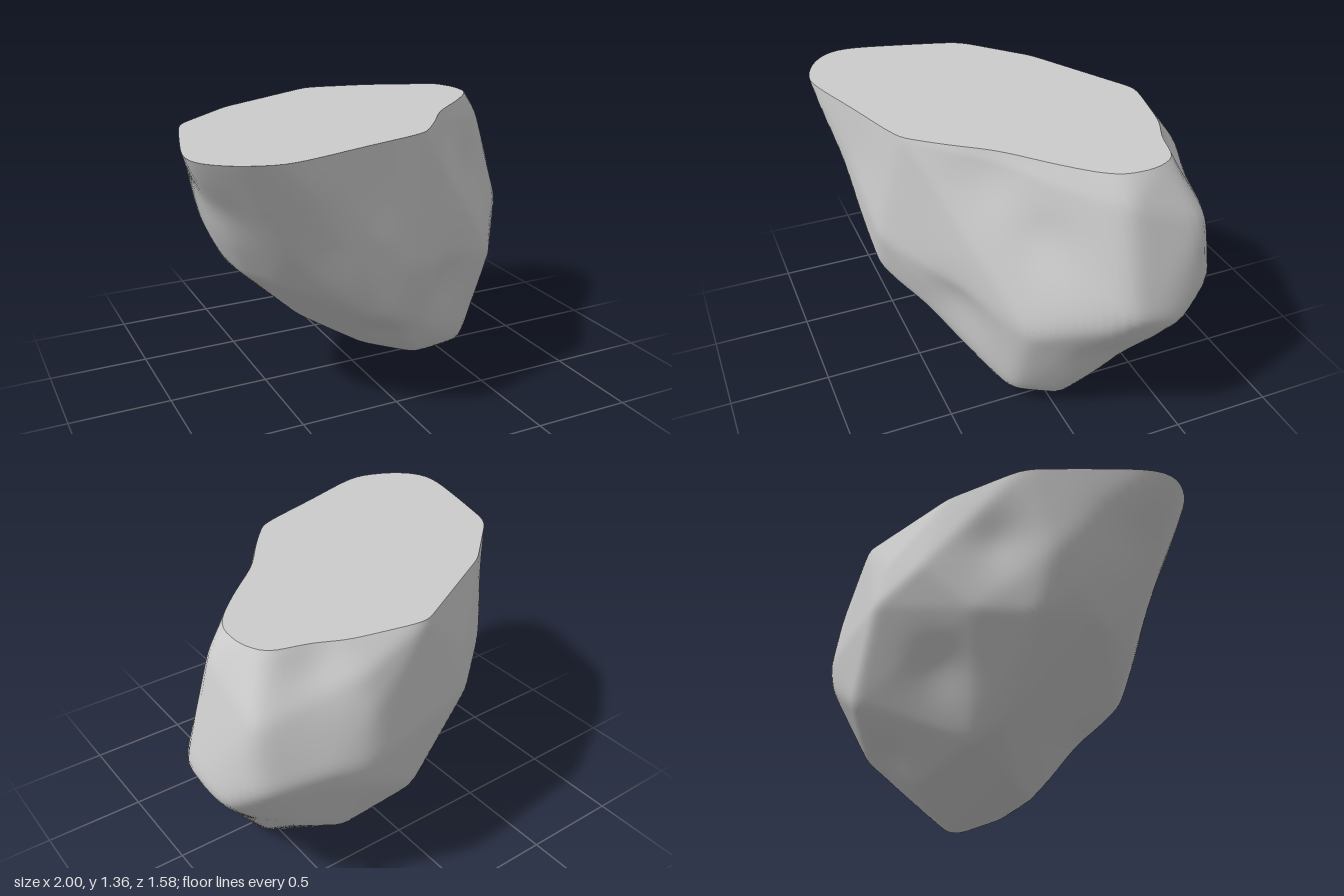
import * as THREE from 'three';
import { ConvexGeometry } from 'three/addons/geometries/ConvexGeometry.js';

const TOP = 1.365, COLS = 160, ROWS = 72;

// Outline of the flat top: x, z
const RIM = [
  [-1.008, 0.55], [-0.99, 0.43], [-0.93, 0.2], [-0.86, -0.05], [-0.83, -0.1], [-0.53, -0.37], [-0.3, -0.49],
  [0.04, -0.675], [0.12, -0.665], [0.43, -0.6], [0.74, -0.49], [0.79, -0.36], [0.785, -0.22], [0.74, -0.14],
  [0.1, 0.55], [0, 0.59], [-0.5, 0.75], [-0.68, 0.798], [-0.86, 0.735], [-0.97, 0.645],
];

// Corners where the facets of the boulder meet: x, y, z
const CORNERS = [
  // right-hand end
  [0.87, 1.24, -0.2], [1.012, 0.74, -0.18], [1.008, 0.7, -0.33], [0.98, 0.65, -0.47], [0.9, 0.78, -0.64], [0.88, 1.1, -0.6],
  [0.64, 0.41, -0.54], [0.73, 0.45, -0.43], [0.62, 0.25, -0.31],
  // back
  [0.4, 1.24, -0.71], [0.38, 1.08, -0.76], [0.36, 0.85, -0.792], [0.46, 0.84, -0.792], [0.62, 0.85, -0.755],
  [0.4, 0.7, -0.78], [0.1, 0.5, -0.7], [0.4, 0.31, -0.57], [0.4, 0.2, -0.43],
  [-0.24, 0.88, -0.66], [-0.26, 1.1, -0.61], [-0.46, 1.0, -0.49],
  // left-hand end
  [-0.83, 0.95, 0.27], [-0.82, 0.95, 0.05], [-0.77, 0.81, 0.2], [-0.7, 0.71, 0.03], [-0.56, 0.76, -0.24], [-0.7, 0.73, 0.3],
  [-0.6, 0.71, 0.42], [-0.4, 0.69, 0.61], [-0.63, 0.95, 0.64], [-0.42, 0.5, 0.08],
  // underside
  [-0.3, 0.32, -0.03], [-0.18, 0.25, -0.16], [0.24, 0.15, -0.34], [0, 0.15, 0.1], [0.24, 0.115, 0.27],
  [0.55, 0.1, 0.2], [0.5, 0.01, 0], [0.55, -0.015, -0.08], [0.64, 0.08, -0.02],
  // front
  [0.73, 0.57, 0.19], [0.46, 0.82, 0.35], [-0.12, 0.54, 0.645], [-0.02, 0.78, 0.66], [-0.2, 0.53, 0.6],
];

// Shallow hollows: x, y, z, depth, radius
const DENTS = [
  [0.7, 0.97, 0.08, 0.06, 0.18], [0.34, 0.48, 0.38, 0.055, 0.2], [0.45, 1.22, 0.22, 0.045, 0.24],
  [-0.7, 1.05, -0.15, 0.045, 0.16], [-0.35, 1.08, 0.7, 0.025, 0.25], [-0.87, 1.12, 0.42, 0.025, 0.16],
  [0.6, 1.27, -0.6, 0.045, 0.14], [0, 0.36, 0.42, 0.025, 0.16], [0.79, 0.42, -0.16, 0.035, 0.15],
  [-0.3, 0.52, -0.37, 0.04, 0.16], [0.22, 0.28, -0.46, 0.03, 0.11],
];

// Direction from the middle of the top for one grid point
function direction(row, col) {
  const t = (Math.PI / 2) * (1 - row / ROWS), p = (2 * Math.PI * col) / COLS;
  return new THREE.Vector3(Math.cos(p) * Math.sin(t), row === 0 ? 0 : -Math.cos(t), Math.sin(p) * Math.sin(t));
}

// Planes of the faceted hull, leaving out its flat top
function hullPlanes(centre) {
  const points = [...RIM.map(([x, z]) => new THREE.Vector3(x, TOP, z)), ...CORNERS.map(c => new THREE.Vector3(...c))];
  const pos = new ConvexGeometry(points).attributes.position;
  const planes = [];
  for (let i = 0; i < pos.count; i += 3) {
    const [a, b, c] = [0, 1, 2].map(k => new THREE.Vector3().fromBufferAttribute(pos, i + k));
    const n = new THREE.Triangle(a, b, c).getNormal(new THREE.Vector3());
    if (n.lengthSq() > 0.5 && n.y < 0.98) planes.push({ n, d: n.dot(a.sub(centre)) });
  }
  return planes;
}

// Average neighbouring radii so that the ridges are rounded
function soften(radii) {
  return radii.map((line, i) => line.map((r, j) => {
    const side = (line[(j + 1) % COLS] + line[(j + COLS - 1) % COLS]) / 2;
    if (i === 0 || i === ROWS) return r * 0.6 + side * 0.4;
    return r * 0.4 + side * 0.3 + (radii[i - 1][j] + radii[i + 1][j]) * 0.15;
  }));
}

function boulderPoints() {
  const centre = new THREE.Vector3(0, TOP, 0), planes = hullPlanes(centre);
  let radii = [];
  for (let i = 0; i <= ROWS; i++) {
    radii.push([]);
    for (let j = 0; j < COLS; j++) {
      const dir = direction(i, j);
      let r = 5;
      for (const { n, d } of planes) {
        const slope = n.dot(dir);
        if (slope > 1e-5) r = Math.min(r, d / slope);
      }
      const p = dir.clone().multiplyScalar(r).add(centre);
      for (const [x, y, z, depth, size] of DENTS) {
        r -= depth * Math.exp(-p.distanceToSquared(new THREE.Vector3(x, y, z)) / (size * size));
      }
      radii[i].push(r);
    }
  }
  for (let k = 0; k < 3; k++) radii = soften(radii);
  const points = [];
  for (let i = 0; i < ROWS; i++) {
    for (let j = 0; j < COLS; j++) points.push(direction(i, j).multiplyScalar(radii[i][j]).add(centre));
  }
  points.push(direction(ROWS, 0).multiplyScalar(radii[ROWS][0]).add(centre));
  return points;
}

function meshFrom(name, points, index) {
  const geometry = new THREE.BufferGeometry().setFromPoints(points);
  geometry.setIndex(index);
  geometry.computeVertexNormals();
  const mesh = new THREE.Mesh(geometry, new THREE.MeshStandardMaterial({ color: 0xcccccc }));
  mesh.name = name;
  return mesh;
}

export function createModel() {
  const group = new THREE.Group();
  group.name = 'flatToppedBoulder';
  const points = boulderPoints();

  // Rounded, faceted underside
  const id = (i, j) => (i === ROWS ? ROWS * COLS : i * COLS + (j % COLS));
  const sides = [];
  for (let i = 0; i < ROWS; i++) {
    for (let j = 0; j < COLS; j++) {
      sides.push(id(i, j), id(i, j + 1), id(i + 1, j));
      if (i < ROWS - 1) sides.push(id(i, j + 1), id(i + 1, j + 1), id(i + 1, j));
    }
  }
  group.add(meshFrom('rockBody', points, sides));

  // Flat cut top, kept apart for a sharp rim
  const rim = points.slice(0, COLS), cap = [];
  for (let j = 0; j < COLS; j++) cap.push(COLS, (j + 1) % COLS, j);
  group.add(meshFrom('flatTop', [...rim, new THREE.Vector3(0, TOP, 0)], cap));
  return group;
}
